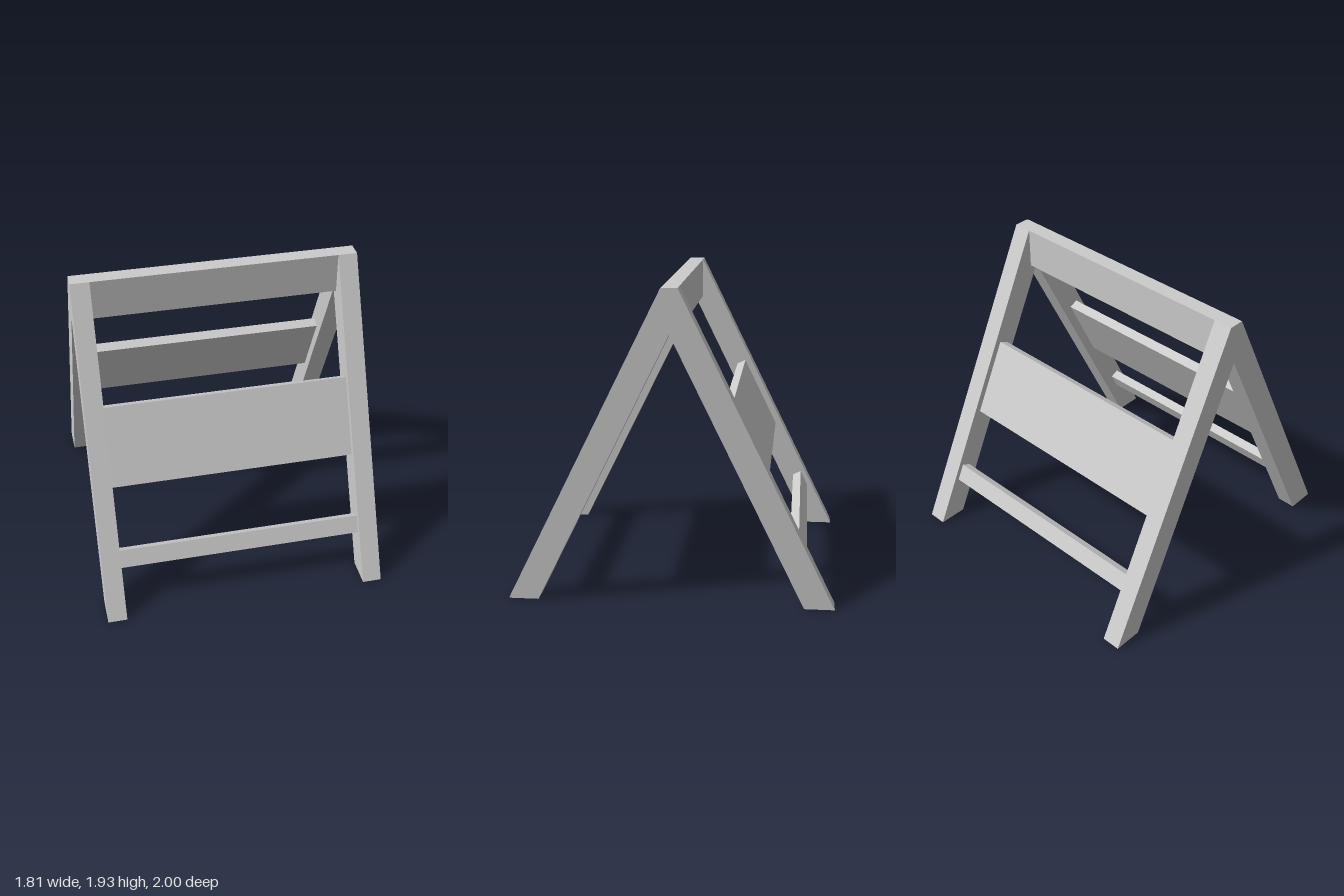
import * as THREE from 'three';

const material = new THREE.MeshStandardMaterial({ color: 0xcccccc, flatShading: true });

// Extrudes a [z, y] side profile along x, from x0 to x1.
function sideExtrude(name, profile, x0, x1) {
  const shape = new THREE.Shape(profile.map(([z, y]) => new THREE.Vector2(-z, y)));
  const geometry = new THREE.ExtrudeGeometry(shape, { depth: x1 - x0, bevelEnabled: false });
  geometry.rotateY(Math.PI / 2).translate(x0, 0, 0);
  const mesh = new THREE.Mesh(geometry, material);
  mesh.name = name;
  return mesh;
}

export function createModel() {
  const group = new THREE.Group();
  group.name = 'aFrameStand';
  const inner = 0.783, outer = 0.905;

  // A-shaped side frames
  const frame = [[1, 0], [0.05, 1.93], [-0.05, 1.93], [-1, 0], [-0.815, 0], [0, 1.66], [0.815, 0]];
  group.add(sideExtrude('leftFrame', frame, inner, outer));
  group.add(sideExtrude('rightFrame', frame, -outer, -inner));

  // Upright ridge board joining the frames
  const ridge = [[0.05, 1.67], [0.05, 1.93], [-0.05, 1.93], [-0.05, 1.67]];
  group.add(sideExtrude('ridgeBoard', ridge, -inner, inner));

  // Sloping panel and lower rail, repeated front and back
  const panel = [[0.36, 1.21], [0.585, 0.75], [0.528, 0.722], [0.303, 1.182]];
  const rail = [[0.775, 0.388], [0.825, 0.285], [0.77, 0.258], [0.72, 0.361]];
  for (const [side, s] of [['front', 1], ['back', -1]]) {
    for (const [part, profile] of [['Panel', panel], ['Rail', rail]]) {
      group.add(sideExtrude(side + part, profile.map(([z, y]) => [s * z, y]), -inner, inner));
    }
  }
  return group;
}
